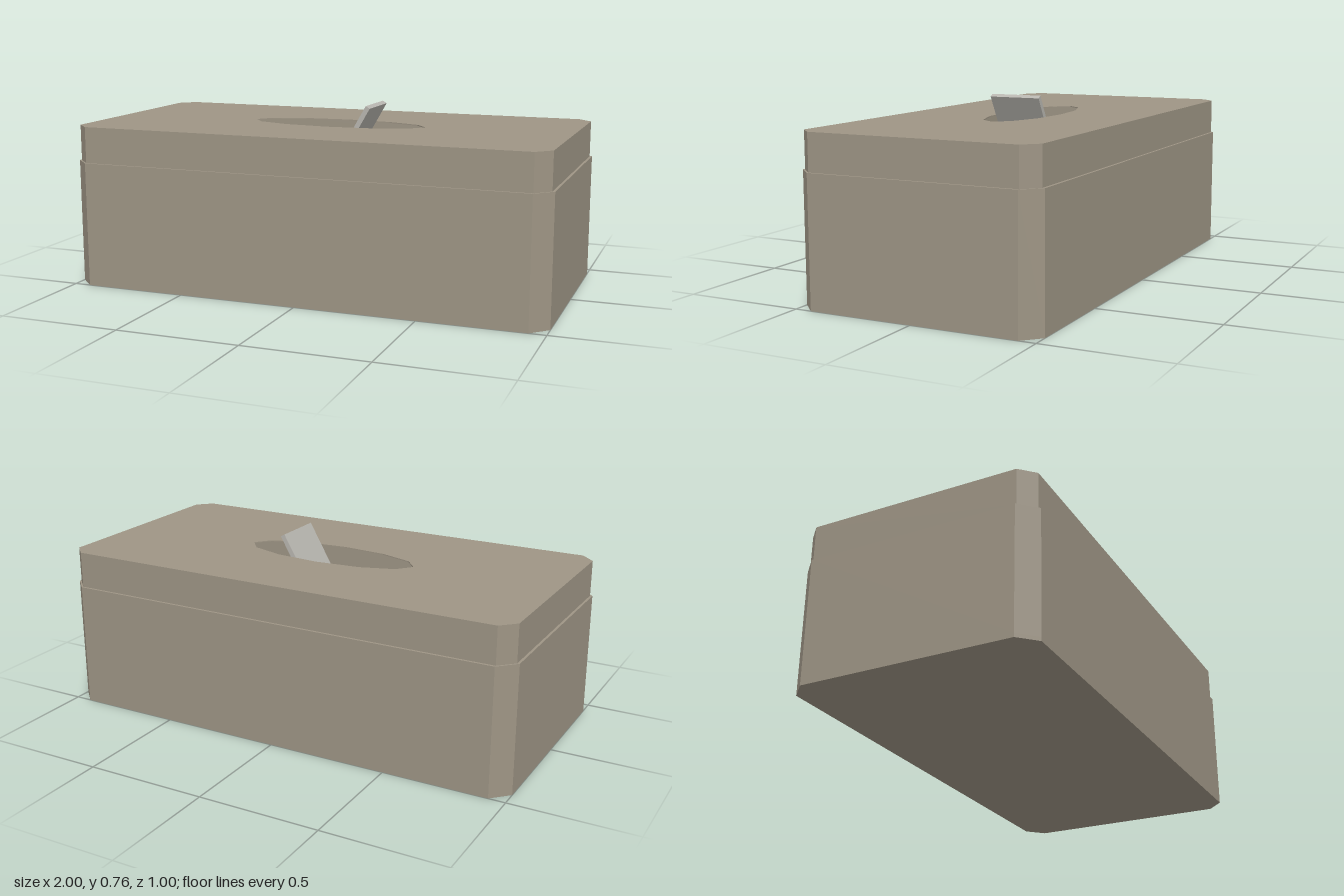
import * as THREE from 'three';

// Rectangle with cut corners, given half sizes and corner cut
function cutRectangle(w, d, c) {
  return [
    [w, -d + c], [w, d - c], [w - c, d], [-w + c, d],
    [-w, d - c], [-w, -d + c], [-w + c, -d], [w - c, -d],
  ].map(([x, y]) => new THREE.Vector2(x, y));
}

// Upright slab or ring: outline in plan, raised from y0 to y1
function plate(outline, hole, y0, y1, material, name) {
  const shape = new THREE.Shape(outline);
  if (hole) shape.holes.push(new THREE.Path(hole));
  const geometry = new THREE.ExtrudeGeometry(shape, { depth: y1 - y0, bevelEnabled: false });
  geometry.rotateX(-Math.PI / 2).translate(0, y0, 0);
  const mesh = new THREE.Mesh(geometry, material);
  mesh.name = name;
  return mesh;
}

export function createModel() {
  const model = new THREE.Group();
  model.name = 'tissueBox';

  const boxColour = new THREE.MeshStandardMaterial({ color: 0x9e9585 });
  boxColour.name = 'taupe';
  const tissueColour = new THREE.MeshStandardMaterial({ color: 0xb8b6b0 });
  tissueColour.name = 'pale grey';

  const baseOutline = cutRectangle(1, 0.5, 0.068);
  const lidOutline = cutRectangle(0.99, 0.49, 0.058);
  const innerOutline = cutRectangle(0.975, 0.475, 0.05);

  // Hollow base
  model.add(plate(baseOutline, null, 0, 0.015, boxColour, 'floor'));
  model.add(plate(baseOutline, innerOutline, 0.015, 0.52, boxColour, 'baseWalls'));

  // Lid, set in slightly, with a twelve-sided oval slot
  const slot = Array.from({ length: 12 }, (_, i) => {
    const a = (i / 12) * Math.PI * 2;
    return new THREE.Vector2(0.38 * Math.cos(a), 0.125 * Math.sin(a));
  });
  model.add(plate(lidOutline, innerOutline, 0.52, 0.666, boxColour, 'lidWalls'));
  model.add(plate(lidOutline, slot, 0.666, 0.67, boxColour, 'lidTop'));

  // Leaning tissue, narrowing to a point inside the box
  const half = [[0.11, 0], [0.11, -0.2], [0.06, -0.225], [0.025, -0.235]];
  const tissueShape = new THREE.Shape([
    ...half.map(([x, y]) => new THREE.Vector2(-x, y)),
    new THREE.Vector2(0, -0.32),
    ...half.slice().reverse().map(([x, y]) => new THREE.Vector2(x, y)),
  ]);
  const tissueGeometry = new THREE.ExtrudeGeometry(tissueShape, { depth: 0.02, bevelEnabled: false });
  const s = Math.sin(Math.PI / 6), c = Math.cos(Math.PI / 6);
  tissueGeometry.applyMatrix4(new THREE.Matrix4().makeBasis(
    new THREE.Vector3(0, 0, -1), new THREE.Vector3(s, c, 0), new THREE.Vector3(c, -s, 0),
  ));
  const tissue = new THREE.Mesh(tissueGeometry, tissueColour);
  tissue.name = 'tissue';
  tissue.position.set(0.16, 0.76, 0);
  model.add(tissue);

  return model;
}
